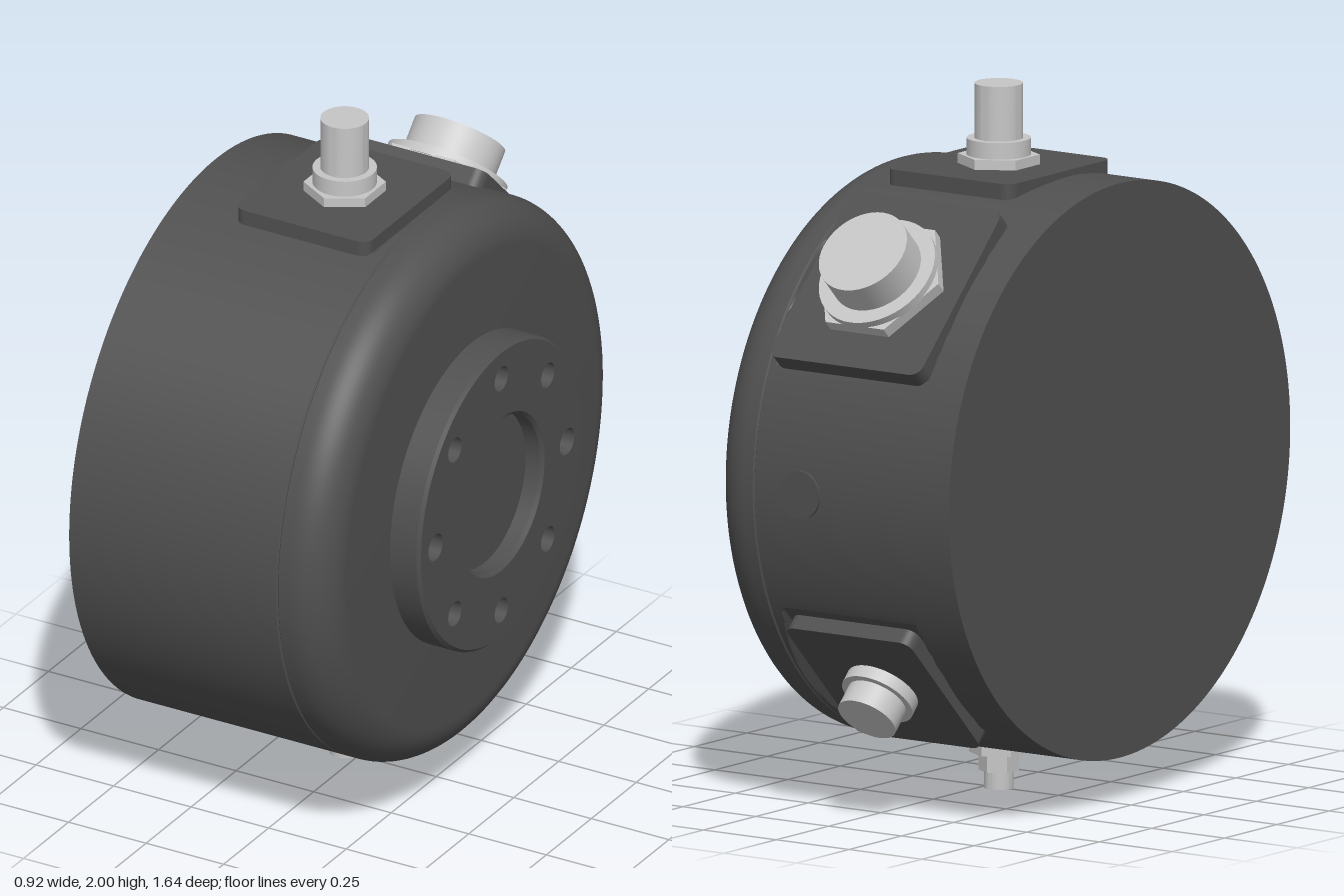
import * as THREE from 'three';
import { toCreasedNormals } from 'three/addons/utils/BufferGeometryUtils.js';

const CY = 0.945, R = 0.815, BACK = -0.46, FACE = 0.365, FILLET = 0.12;
const dark = new THREE.MeshStandardMaterial({ color: 0x505050 });
dark.name = 'darkHousing';
const silver = new THREE.MeshStandardMaterial({ color: 0xc6c6c6 });
silver.name = 'silverMetal';

// Flats milled into the drum: angle about x, distance from axis, x range, wall slant
const flats = [
  { angle: 0, d: 0.785, x0: -0.285, x1: 0.2, slant: 0.025 },
  { angle: -Math.PI / 4, d: 0.765, x0: -0.35, x1: 0.204, slant: 0.02 },
  { angle: -Math.PI * 0.75, d: 0.765, x0: -0.32, x1: 0.2, slant: 0.035 },
  { angle: Math.PI, d: 0.808, x0: -0.16, x1: 0.075, slant: 0.006 },
];

function mesh(name, geometry, material) {
  const m = new THREE.Mesh(geometry, material);
  m.name = name;
  return m;
}

// Drum skin: rings along x, pulled in to the flats
function drumGeometry() {
  const xs = [BACK, 0.206, 0.21, 0.214];
  for (const f of flats) {
    for (let k = 0; k <= 4; k++) xs.push(f.x0 + f.slant * k / 4, f.x1 - f.slant * k / 4);
  }
  const rows = [...new Set(xs)].sort((a, b) => a - b).map(x => [x, x === 0.21 ? R - 0.005 : R]);
  rows.unshift([BACK, 0]);
  for (let k = 0; k <= 14; k++) {
    const t = k / 14 * Math.PI / 2;
    rows.push([FACE - FILLET + FILLET * Math.sin(t), R - FILLET + FILLET * Math.cos(t)]);
  }
  rows.push([FACE, 0]);

  const N = 360, pos = [], index = [];
  for (const [x, r0] of rows) {
    for (let j = 0; j <= N; j++) {
      const a = j / N * Math.PI * 2;
      let r = r0;
      for (const f of flats) {
        const c = Math.cos(a - f.angle);
        const depth = Math.min(1, (x - f.x0) / f.slant, (f.x1 - x) / f.slant);
        if (c > 0.5 && depth > 0) r = Math.min(r, (R + (f.d - R) * depth) / c);
      }
      pos.push(x, r * Math.cos(a), r * Math.sin(a));
    }
  }
  for (let i = 0; i < rows.length - 1; i++) {
    for (let j = 0; j < N; j++) {
      const a = i * (N + 1) + j, b = a + 1, d = a + N + 1, c = d + 1;
      if (rows[i][1] > 0) index.push(a, b, d);
      if (rows[i + 1][1] > 0) index.push(b, c, d);
    }
  }
  const g = new THREE.BufferGeometry();
  g.setAttribute('position', new THREE.Float32BufferAttribute(pos, 3));
  g.setIndex(index);
  return toCreasedNormals(g, 0.2);
}

// Mounting flange with bolt holes and a shallow bore
function makeFlange() {
  const flange = new THREE.Group();
  flange.name = 'mountingFlange';
  const shape = new THREE.Shape().absarc(0, 0, 0.446, 0, Math.PI * 2);
  const hole = (x, y, r) => shape.holes.push(new THREE.Path().absarc(x, y, r, 0, Math.PI * 2, true));
  hole(0, 0, 0.24);
  for (let k = 0; k < 8; k++) {
    const a = k * Math.PI / 4;
    hole(0.365 * Math.cos(a), 0.365 * Math.sin(a), k === 0 || k === 4 ? 0.04 : 0.037);
  }
  const plate = new THREE.ExtrudeGeometry(shape, { depth: 0.095, bevelEnabled: false, curveSegments: 48 });
  plate.rotateY(Math.PI / 2).translate(FACE, 0, 0);
  flange.add(mesh('flangePlate', plate, dark));

  const ring = (name, points) => {
    const g = new THREE.LatheGeometry(points.map(p => new THREE.Vector2(p[0], p[1])), 96);
    g.rotateZ(-Math.PI / 2);
    flange.add(mesh(name, toCreasedNormals(g, 0.4), dark));
  };
  ring('flangeRim', [[0.455, FACE], [0.455, 0.45], [0.446, 0.46]]);
  ring('boreLip', [[0.24, 0.46], [0.23, 0.45], [0.23, FACE]]);
  ring('boreFloor', [[0.231, 0.405], [0, 0.405]]);
  return flange;
}

// Rounded plate lying in xz, from y0 to y1
function plateGeometry(w, l, y0, y1) {
  const r = 0.035, x = w / 2, y = l / 2, s = new THREE.Shape();
  s.absarc(x - r, y - r, r, 0, Math.PI / 2);
  s.absarc(r - x, y - r, r, Math.PI / 2, Math.PI);
  s.absarc(r - x, r - y, r, Math.PI, Math.PI * 1.5);
  s.absarc(x - r, r - y, r, Math.PI * 1.5, Math.PI * 2);
  const g = new THREE.ExtrudeGeometry(s, { depth: y1 - y0, bevelEnabled: false, curveSegments: 6 });
  return g.rotateX(-Math.PI / 2).translate(0, y0, 0);
}

// Radial connector: stacked parts [name, radius, y0, y1, sides, turn]
function makePort(name, x, angle, plate, stack) {
  const port = new THREE.Group();
  port.name = name;
  port.position.x = x;
  port.rotation.x = angle;
  if (plate) port.add(mesh('portPlate', plateGeometry(...plate), dark));
  for (const [part, r, y0, y1, sides = 48, turn = 0] of stack) {
    const g = new THREE.CylinderGeometry(r, r, y1 - y0, sides);
    g.rotateY(turn).translate(0, (y0 + y1) / 2, 0);
    port.add(mesh(part, toCreasedNormals(g, 0.5), silver));
  }
  return port;
}

export function createModel() {
  const model = new THREE.Group();
  model.name = 'drumSensor';
  const body = new THREE.Group();
  body.name = 'body';
  body.position.y = CY;
  model.add(body);

  body.add(mesh('drum', drumGeometry(), dark), makeFlange());

  body.add(makePort('topConnector', -0.045, flats[0].angle, [0.43, 0.49, 0.78, 0.825], [
    ['hexNut', 0.115, 0.82, 0.853, 6],
    ['collar', 0.09, 0.85, 0.9],
    ['plug', 0.068, 0.89, 1.055],
  ]));
  body.add(makePort('largeConnector', -0.07, flats[1].angle, [0.52, 0.575, 0.76, 0.815], [
    ['hexNut', 0.2, 0.81, 0.85, 6, Math.PI / 6],
    ['collar', 0.178, 0.845, 0.872],
    ['plug', 0.135, 0.86, 0.967],
  ]));
  body.add(makePort('lowerConnector', -0.06, flats[2].angle, [0.43, 0.5, 0.76, 0.812], [
    ['collar', 0.108, 0.805, 0.85],
    ['plug', 0.088, 0.84, 0.92],
  ]));
  body.add(makePort('bottomValve', -0.045, flats[3].angle, null, [
    ['hexBase', 0.083, 0.8, 0.845, 6],
    ['hexNeck', 0.057, 0.84, 0.895, 6],
    ['tip', 0.041, 0.89, 0.945],
  ]));

  // Small round cover on the back of the drum
  const cover = new THREE.CylinderGeometry(0.068, 0.068, 0.03, 48);
  cover.rotateX(-Math.PI / 2).translate(0.05, 0, -0.806);
  body.add(mesh('roundCover', cover, dark));
  return model;
}
